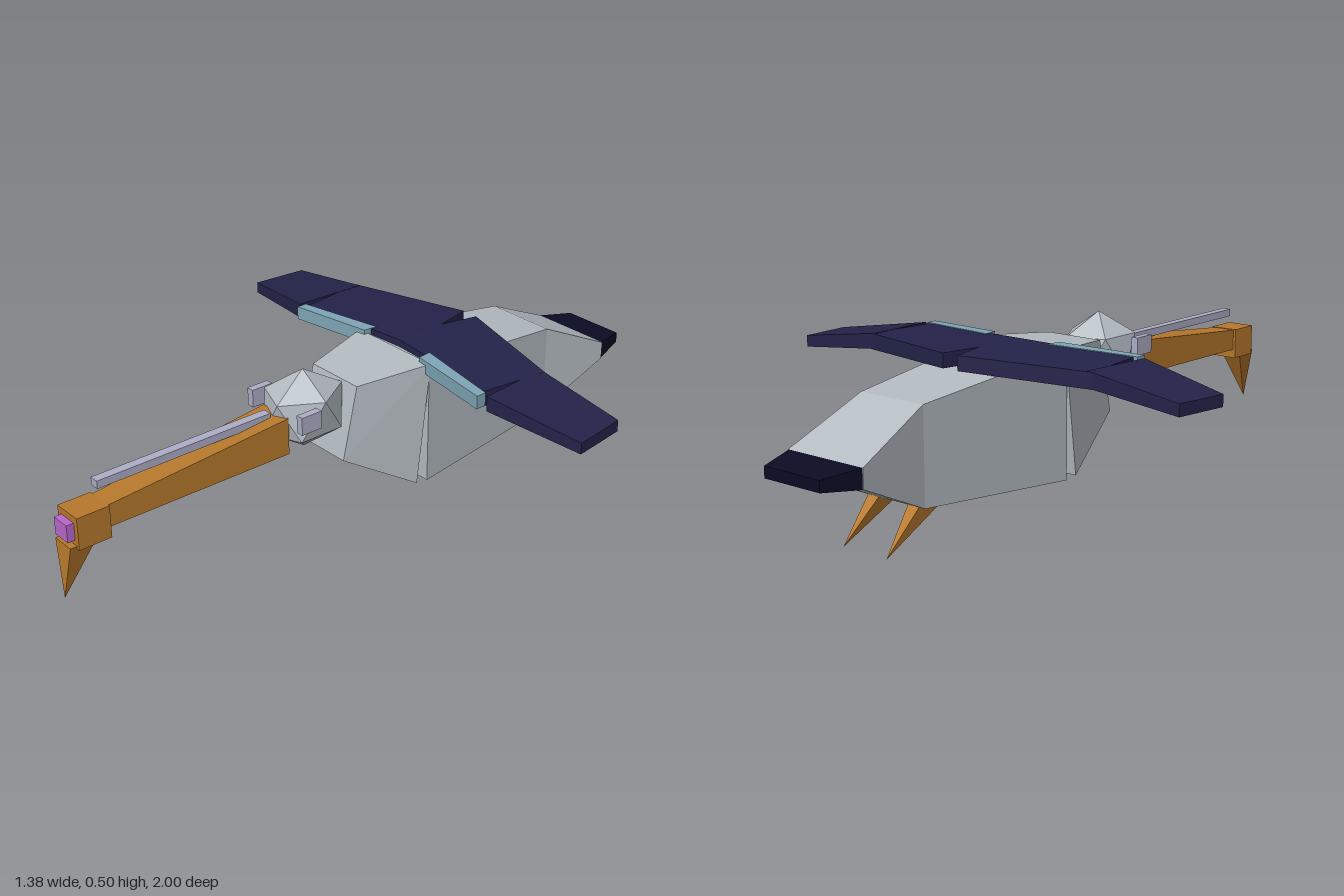
import * as THREE from 'three';
import { ConvexGeometry } from 'three/addons/geometries/ConvexGeometry.js';

const mat = (name, color) => {
  const m = new THREE.MeshStandardMaterial({ color });
  m.name = name;
  return m;
};

export function createModel() {
  const bird = new THREE.Group();
  bird.name = 'longBilledBird';
  const grey = mat('pale grey', 0xb4bcc2);
  const orange = mat('orange', 0xb8792c);
  const navy = mat('navy', 0x24234a);
  const black = mat('blue black', 0x0b0b24);
  const teal = mat('dusty teal', 0x7fa6b6);
  const lavender = mat('lavender grey', 0xaeaec8);
  const purple = mat('purple', 0xb868cc);

  // Faceted convex solid from its corners
  const solid = (name, material, points) => {
    const mesh = new THREE.Mesh(new ConvexGeometry(points.map((p) => new THREE.Vector3(...p))), material);
    mesh.name = name;
    bird.add(mesh);
  };
  // Upright cross-section: half width, bottom [y, z], top [y, z]
  const section = (w, [y0, z0], [y1, z1]) => [[-w, y0, z0], [w, y0, z0], [w, y1, z1], [-w, y1, z1]];
  const block = (name, material, x0, x1, y0, y1, z0, z1) => {
    const mesh = new THREE.Mesh(new THREE.BoxGeometry(x1 - x0, y1 - y0, z1 - z0), material);
    mesh.position.set((x0 + x1) / 2, (y0 + y1) / 2, (z0 + z1) / 2);
    mesh.name = name;
    bird.add(mesh);
  };

  // Torso, from the chest back to the tail
  solid('chest', grey, [
    ...section(0.152, [0.09, -0.09], [0.46, -0.135]),
    ...section(0.095, [0.225, 0.14], [0.442, 0.09])]);
  solid('body', grey, [
    ...section(0.152, [0.085, -0.13], [0.455, -0.13]),
    ...section(0.112, [0.12, -0.655], [0.395, -0.655])]);
  solid('rump', grey, [
    ...section(0.112, [0.12, -0.655], [0.395, -0.655]),
    ...section(0.135, [0.23, -0.89], [0.285, -0.89])]);
  solid('tailTip', black, [
    ...section(0.132, [0.229, -0.89], [0.285, -0.89]),
    ...section(0.1, [0.24, -1], [0.272, -1])]);

  // Head: stretched twenty-sided ball with a corner on top
  const head = [[0, 0.5, 0.205], [0, 0.26, 0.205]];
  for (let i = 0; i < 5; i++) {
    for (const s of [1, -1]) {
      const a = (i * Math.PI * 2) / 5;
      head.push([s * 0.1 * Math.cos(a), 0.38 + s * 0.054, 0.205 + 0.121 * Math.sin(a)]);
    }
  }
  solid('head', grey, head);

  // Bill with block end, hooked point, top rod and front plate
  solid('bill', orange, [
    ...section(0.055, [0.29, 0.3], [0.4, 0.3]),
    ...section(0.037, [0.28, 0.875], [0.345, 0.875])]);
  block('billEnd', orange, -0.045, 0.045, 0.253, 0.347, 0.872, 0.97);
  solid('billHook', orange, [
    [-0.036, 0.262, 0.912], [0.036, 0.262, 0.912],
    [0.036, 0.262, 0.99], [-0.036, 0.262, 0.99], [0, 0.1, 1]]);
  block('billRod', lavender, -0.014, 0.014, 0.387, 0.41, 0.33, 0.885);
  block('billPlate', purple, -0.029, 0.029, 0.277, 0.328, 0.97, 0.992);

  // Wing slab: outline of [x, z] with straight sloping top and bottom
  const slab = (name, material, s, outline, top, bottom) => solid(name, material,
    outline.flatMap(([x, z]) => [[s * x, top(x), z], [s * x, bottom(x), z]]));

  for (const s of [1, -1]) {
    const side = s > 0 ? 'left' : 'right';
    slab(side + 'InnerWing', navy, s,
      [[0, -0.155], [0.375, -0.125], [0.4, -0.335], [0.026, -0.435], [0, -0.32]],
      (x) => 0.474 - 0.025 * x, (x) => 0.432 - 0.035 * x);
    slab(side + 'OuterWing', navy, s,
      [[0.4, -0.11], [0.692, -0.17], [0.673, -0.335], [0.385, -0.335]],
      (x) => 0.465 - 0.146 * (x - 0.39), (x) => 0.42 - 0.108 * (x - 0.39));
    slab(side + 'WingFlap', teal, s,
      [[0.113, -0.165], [0.385, -0.12], [0.385, -0.088], [0.118, -0.122]],
      (x) => 0.476 - 0.025 * x, (x) => 0.436 - 0.025 * x);

    // Eye plates
    const x0 = s > 0 ? 0.097 : -0.12;
    block(side + 'EyePlate', lavender, x0, x0 + 0.023, 0.375, 0.428, 0.237, 0.305);

    // Legs: slim spikes trailing backward
    solid(side + 'Leg', orange, [
      [s * 0.05, 0.125, -0.56], [s * 0.095, 0.125, -0.56],
      [s * 0.095, 0.135, -0.645], [s * 0.05, 0.135, -0.645], [s * 0.079, 0.005, -0.765]]);
  }
  return bird;
}
